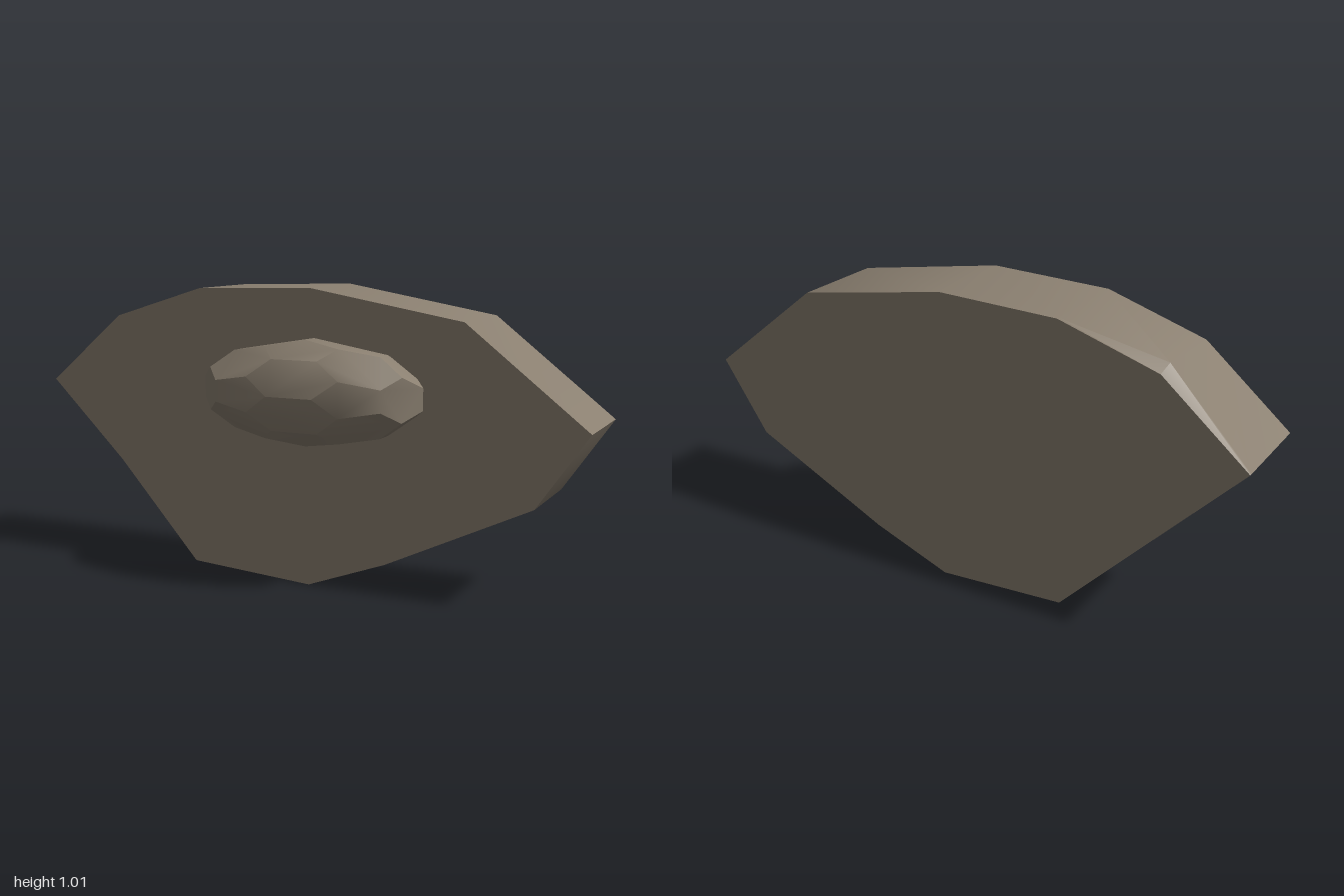
import * as THREE from 'three';
import { toCreasedNormals } from 'three/addons/utils/BufferGeometryUtils.js';
import { ConvexGeometry } from 'three/addons/geometries/ConvexGeometry.js';

const CREASE = 0.6;
const FRONT = 0.07, BACK = -0.265;

// Slab outline, anticlockwise
const OUTLINE = [
  [-1, 0.66], [-0.71, 0.38], [-0.4, 0.035], [0.05, 0.005], [0.33, 0.11], [0.83, 0.35],
  [1, 0.6], [0.59, 0.925], [0.05, 1.02], [-0.37, 1.01], [-0.71, 0.905],
];

function slabGeometry() {
  const shape = new THREE.Shape(OUTLINE.map(([x, y]) => new THREE.Vector2(x, y)));
  const geo = new THREE.ExtrudeGeometry(shape, { depth: FRONT - BACK, steps: 2, bevelEnabled: false });
  geo.translate(0, 0, BACK);
  const p = geo.attributes.position;
  const near = (i, x, y) => Math.hypot(p.getX(i) - x, p.getY(i) - y) < 0.001;
  for (let i = 0; i < p.count; i++) {
    const z = p.getZ(i);
    const mid = z > BACK + 0.01 && z < FRONT - 0.01;
    // Middle ring sits close to the back
    if (mid) p.setZ(i, BACK + 0.01);
    // Small chipped flare at the upper corner
    if (mid && near(i, -0.71, 0.905)) p.setXYZ(i, -0.72, 0.93, -0.225);
    // Lower edge is straight at the back and slightly hollow at the front
    if (z < FRONT - 0.01 && near(i, -0.71, 0.38)) p.setXY(i, -0.7, 0.348);
  }
  return toCreasedNormals(geo, CREASE);
}

// Stretched truncated icosahedron, half sunk into the slab
function bossGeometry() {
  const f = (1 + Math.sqrt(5)) / 2;
  const points = [];
  for (const base of [[0, 3 * f, 1], [1, 2 * f, 2 + f], [f, 2 * f + 1, 2]]) {
    for (let turn = 0; turn < 3; turn++) {
      const v = [0, 1, 2].map((k) => base[(k + turn) % 3]);
      for (let s = 0; s < 8; s++) {
        const q = v.map((c, k) => (s & (1 << k) ? -c : c));
        if (v.some((c, k) => c === 0 && s & (1 << k))) continue;
        points.push(new THREE.Vector3(...q).divideScalar(3 * f));
      }
    }
  }
  const geo = new ConvexGeometry(points);
  geo.scale(0.4, 0.177, 0.16);
  return toCreasedNormals(geo, CREASE);
}

export function createModel() {
  const stone = new THREE.MeshStandardMaterial({ color: 0x8a7f70 });
  stone.name = 'stone';

  const group = new THREE.Group();
  group.name = 'stoneSlab';

  const slab = new THREE.Mesh(slabGeometry(), stone);
  slab.name = 'slab';
  group.add(slab);

  const boss = new THREE.Mesh(bossGeometry(), stone);
  boss.name = 'boss';
  boss.position.set(0.07, 0.678, 0.105);
  group.add(boss);

  return group;
}
